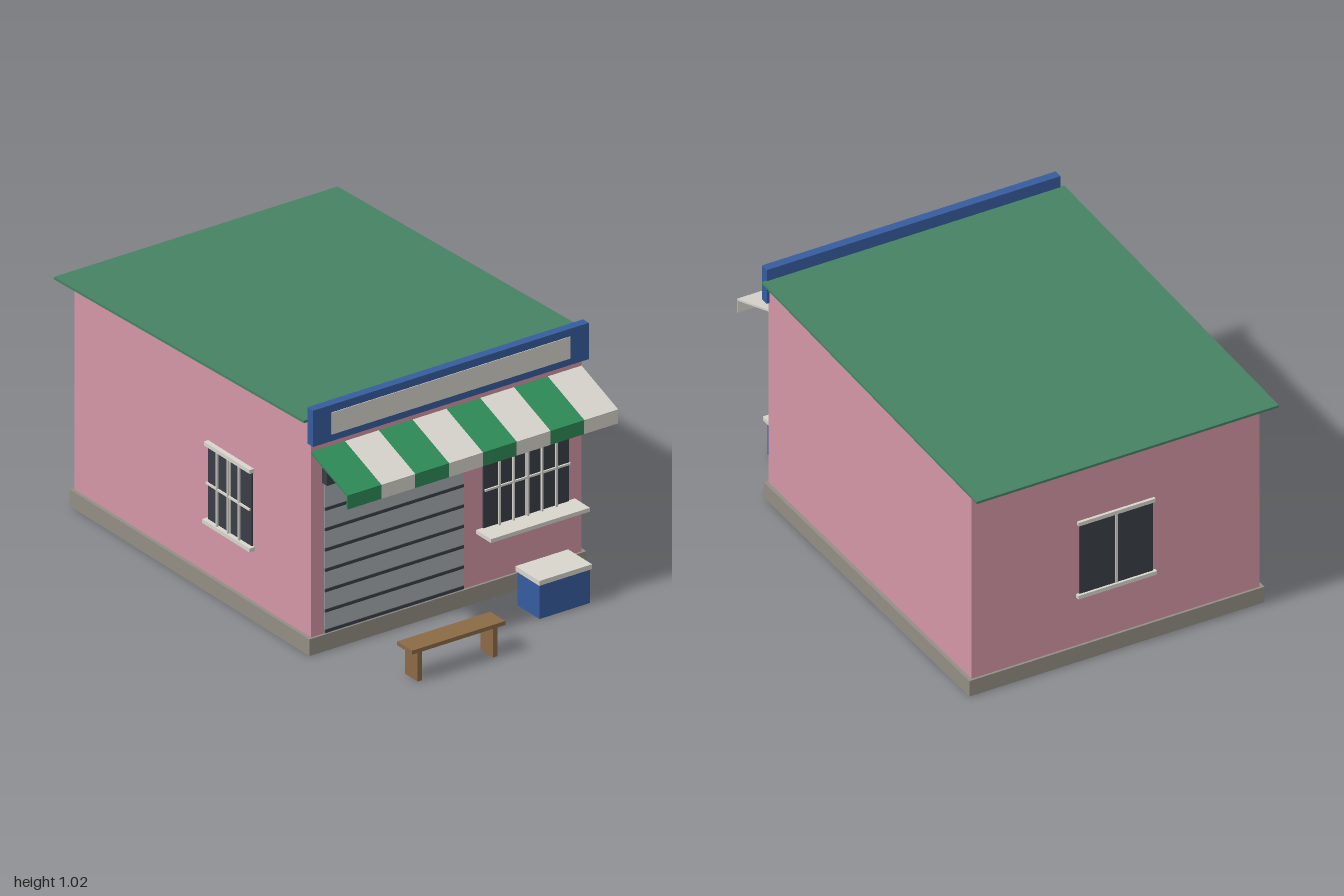
import * as THREE from 'three';

const mat = (name, color) => {
  const m = new THREE.MeshStandardMaterial({ color });
  m.name = name;
  return m;
};

export function createModel() {
  const root = new THREE.Group();
  root.name = 'shop';
  const pink = mat('pink plaster', 0xd496a6);
  const cream = mat('cream', 0xd8d5cd);
  const awningGreen = mat('awning green', 0x2e8b57);
  const roofGreen = mat('roof green', 0x458262);
  const blue = mat('blue', 0x365c9e);
  const steel = mat('shutter grey', 0xa9adb2);
  const dark = mat('dark glass', 0x3a3e45);
  const stone = mat('stone', 0x938e85);
  const wood = mat('wood', 0x8b6a45);

  const group = (name, parent = root) => {
    const g = new THREE.Group();
    g.name = name;
    parent.add(g);
    return g;
  };
  const add = (parent, name, geometry, material) => {
    const m = new THREE.Mesh(geometry, material);
    m.name = name;
    parent.add(m);
    return m;
  };
  // Box given by its limits on each axis
  const box = (parent, name, material, [x0, x1], [y0, y1], [z0, z1]) => {
    const m = add(parent, name, new THREE.BoxGeometry(x1 - x0, y1 - y0, z1 - z0), material);
    m.position.set((x0 + x1) / 2, (y0 + y1) / 2, (z0 + z1) / 2);
    return m;
  };
  // Side profile of [z, y] points, swept across x
  const sweep = (name, material, points, halfWidth) => {
    const shape = new THREE.Shape(points.map(([z, y]) => new THREE.Vector2(-z, y)));
    const geo = new THREE.ExtrudeGeometry(shape, { depth: halfWidth * 2, bevelEnabled: false });
    geo.translate(0, 0, -halfWidth).rotateY(Math.PI / 2);
    return add(root, name, geo, material);
  };

  // Building shell
  sweep('walls', pink, [[0.585, 0], [0.585, 0.956], [-0.91, 0.907], [-0.91, 0]], 0.61);
  box(root, 'plinth', stone, [-0.625, 0.625], [0.002, 0.07], [-0.92, 0.595]);
  sweep('roof', roofGreen, [[0.582, 0.957], [0.582, 0.967], [-1, 0.914], [-1, 0.904]], 0.64);

  // Sign board
  const sign = group('sign');
  box(sign, 'signBoard', blue, [-0.622, 0.622], [0.867, 1.016], [0.578, 0.614]);
  box(sign, 'signPanel', cream, [-0.538, 0.538], [0.895, 0.985], [0.612, 0.617]);

  // Striped awning with a hanging valance
  const awning = group('awning');
  const stripe = 1.22 / 8;
  for (let i = 0; i < 8; i++) {
    const x = -0.61 + i * stripe;
    const m = i % 2 ? cream : awningGreen;
    const slope = add(awning, 'awningStripe', new THREE.BoxGeometry(stripe, 0.008, 0.247), m);
    slope.position.set(x + stripe / 2, 0.786, 0.7);
    slope.rotation.x = Math.atan2(0.085, 0.23);
    box(awning, 'valanceStripe', m, [x, x + stripe], [0.689, 0.745], [0.81, 0.816]);
  }

  // Roller shutter
  const shutter = group('shutter');
  box(shutter, 'shutterSheet', steel, [-0.552, 0.074], [0.07, 0.7], [0.58, 0.59]);
  box(shutter, 'shutterHousing', dark, [-0.56, 0.082], [0.69, 0.752], [0.58, 0.616]);
  for (let i = 0; i < 7; i++) {
    const y = 0.081 + i * 0.0835;
    box(shutter, 'shutterGroove', dark, [-0.552, 0.074], [y - 0.006, y + 0.006], [0.585, 0.594]);
  }

  // Windows are built facing +z with the wall at z = 0
  const makeWindow = (name, half, y0, y1, sillDepth, sillExtra, headExtra, bars) => {
    const w = group(name);
    const mid = (y0 + y1) / 2;
    box(w, 'glass', dark, [-half, half], [y0, y1], [-0.005, 0.006]);
    box(w, 'mullion', cream, [-0.006, 0.006], [y0, y1], [0, 0.009]);
    box(w, 'sill', cream, [-half - sillExtra, half + sillExtra], [y0 - 0.016, y0], [-0.005, sillDepth]);
    box(w, 'lintel', cream, [-half - headExtra, half + headExtra], [y1, y1 + 0.016], [-0.005, bars ? 0.02 : 0.012]);
    for (let i = 1; i <= bars; i++) {
      const x = -half + (2 * half * i) / (bars + 1);
      box(w, 'bar', cream, [x - 0.004, x + 0.004], [y0, y1], [0.011, 0.019]);
    }
    if (bars) box(w, 'crossBar', cream, [-half, half], [mid - 0.004, mid + 0.004], [0.011, 0.018]);
    return w;
  };
  makeWindow('frontWindow', 0.193, 0.296, 0.612, 0.095, 0.03, 0.01, 5).position.set(0.357, 0, 0.585);
  const side = makeWindow('sideWindow', 0.138, 0.297, 0.6, 0.024, 0.012, 0.007, 3);
  side.position.set(-0.61, 0, 0.08);
  side.rotation.y = -Math.PI / 2;
  const back = makeWindow('backWindow', 0.155, 0.297, 0.6, 0.016, 0.012, 0.008, 0);
  back.position.set(0, 0, -0.91);
  back.rotation.y = Math.PI;

  // Bench
  const bench = group('bench');
  box(bench, 'benchSeat', wood, [-0.45, -0.03], [0.122, 0.138], [0.905, 1]);
  for (const x of [-0.41, -0.07]) {
    box(bench, 'benchLeg', wood, [x - 0.01, x + 0.01], [0, 0.122], [0.912, 0.993]);
  }

  // Cool box
  const cooler = group('coolBox');
  box(cooler, 'coolBoxBody', blue, [0.242, 0.47], [0, 0.14], [0.695, 0.835]);
  box(cooler, 'coolBoxLid', cream, [0.237, 0.475], [0.14, 0.16], [0.69, 0.841]);

  return root;
}
